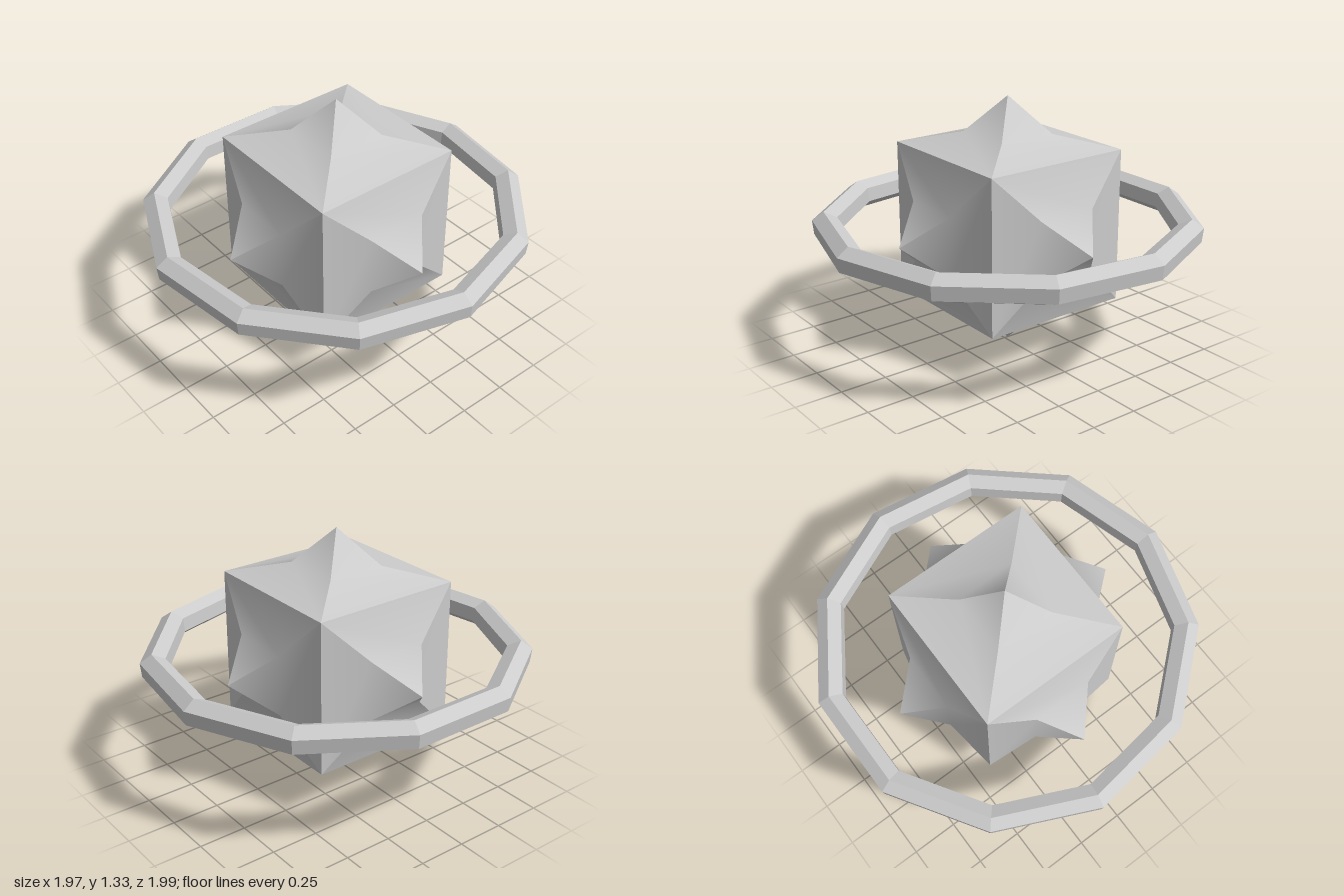
import * as THREE from 'three';
import { mergeGeometries } from 'three/addons/utils/BufferGeometryUtils.js';

const CENTER = new THREE.Vector3(-0.02, 0.667, 0);

// One quarter of a spiked cube face: a steep spike side flowing into a shallow skirt
function spikeQuarter() {
  const half = 0.405, tip = 0.665, neck = 0.16, neckHeight = 0.473;
  const g = new THREE.BufferGeometry();
  g.setAttribute('position', new THREE.Float32BufferAttribute([
    0, tip, 0,
    -neck, neckHeight, neck,
    neck, neckHeight, neck,
    -half, half, half,
    half, half, half,
  ], 3));
  g.setIndex([0, 1, 2, 1, 3, 4, 1, 4, 2]);
  g.computeVertexNormals(); // smooth inside the quarter, sharp at its ridges
  return g;
}

function spikedCube() {
  // Four quarters make the upward face
  const quarters = [];
  for (let i = 0; i < 4; i++) quarters.push(spikeQuarter().rotateY(i * Math.PI / 2));
  const face = mergeGeometries(quarters);

  // Top, bottom and four sides
  const faces = [face.clone(), face.clone().rotateX(Math.PI)];
  for (let i = 0; i < 4; i++) {
    faces.push(face.clone().rotateX(Math.PI / 2).rotateY(i * Math.PI / 2));
  }
  return mergeGeometries(faces);
}

// Eleven-sided ring with a slightly turned hexagonal section
function ringGeometry() {
  const radius = 0.9365, tube = 0.075, turn = THREE.MathUtils.degToRad(24);
  const profile = [];
  for (let i = 0; i <= 6; i++) {
    const a = turn + (i % 6) * Math.PI / 3;
    profile.push(new THREE.Vector2(radius + tube * Math.cos(a), tube * Math.sin(a)));
  }
  return new THREE.LatheGeometry(profile, 11, Math.PI / 2);
}

export function createModel() {
  const model = new THREE.Group();
  model.name = 'ringedSpikedCube';

  const core = new THREE.Mesh(spikedCube(), new THREE.MeshStandardMaterial({ color: 0xcccccc }));
  core.name = 'spikedCore';

  const ring = new THREE.Mesh(
    ringGeometry(),
    new THREE.MeshStandardMaterial({ color: 0xcccccc, flatShading: true })
  );
  ring.name = 'ring';

  for (const part of [core, ring]) {
    part.position.copy(CENTER);
    model.add(part);
  }
  return model;
}
